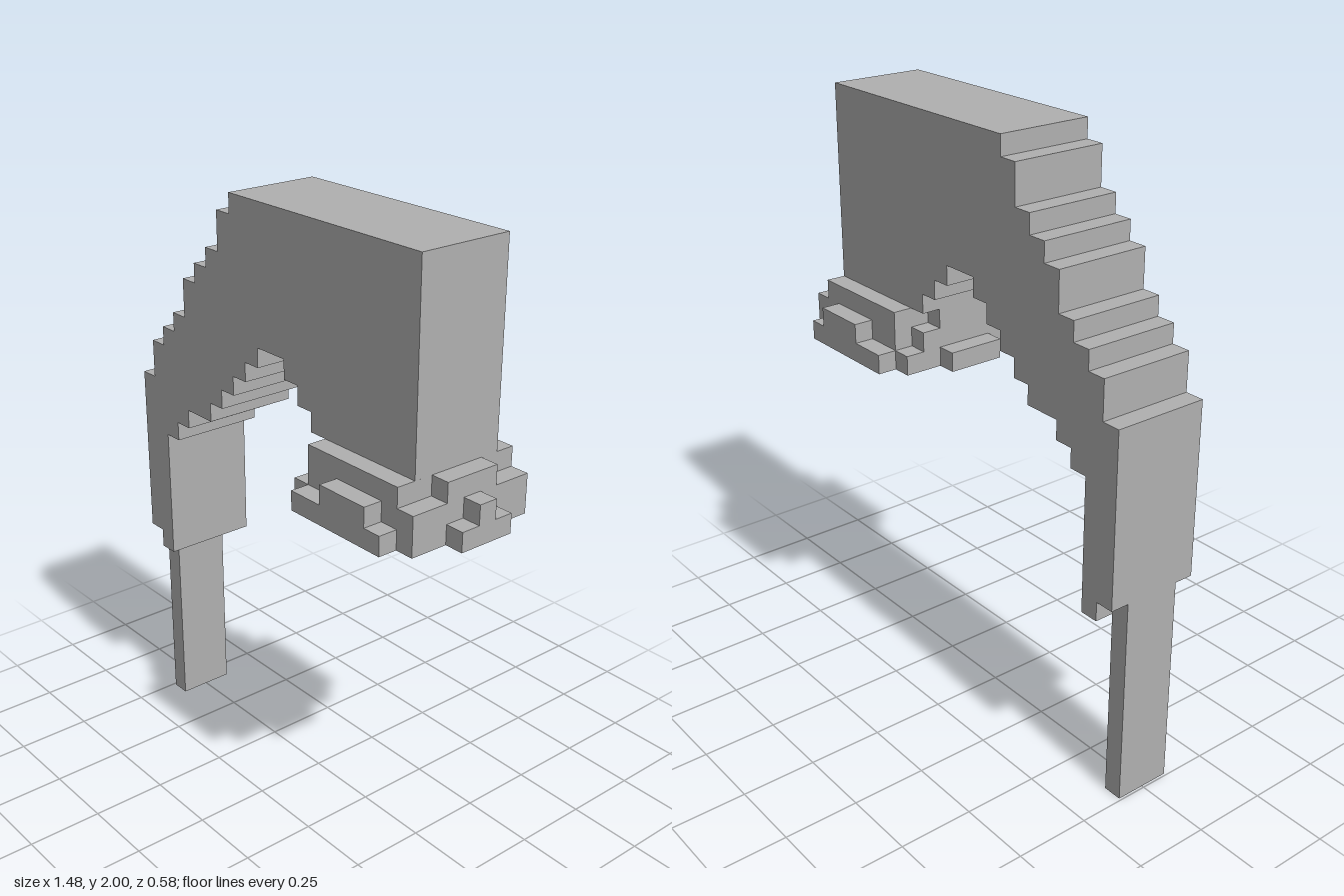
import * as THREE from 'three';

const U = 2 / 31; // size of one block

// Stepped outline from runs of columns [firstColumn, low, high], closed at column `end`
function steppedShape(runs, end) {
  const lower = [], upper = [];
  runs.forEach(([x, lo, hi], i) => {
    const next = i + 1 < runs.length ? runs[i + 1][0] : end;
    lower.push([x, lo], [next, lo]);
    upper.push([x, hi], [next, hi]);
  });
  const pts = [...lower, ...upper.reverse()]
    .map(([x, y]) => new THREE.Vector2((x - 11.5) * U, y * U))
    .filter((p, i, all) => i === 0 || p.distanceTo(all[i - 1]) > 1e-6);
  return new THREE.Shape(pts);
}

function extrude(shape, blocks) {
  return new THREE.ExtrudeGeometry(shape, { depth: blocks * U, bevelEnabled: false });
}

export function createModel() {
  const group = new THREE.Group();
  const grey = new THREE.MeshStandardMaterial({ color: 0xb0b0b0 });
  grey.name = 'grey';

  const add = (name, geometry) => {
    const mesh = new THREE.Mesh(geometry, grey);
    mesh.name = name;
    group.add(mesh);
    return mesh;
  };

  // Curved arm with the tall block at its end
  const arm = steppedShape([
    [0, 11, 20], [1, 10, 22], [2, 17, 23], [3, 18, 24], [4, 19, 26],
    [5, 19, 27], [6, 20, 28], [7, 21, 30], [8, 22, 31], [9, 23, 31],
    [10, 24, 31], [12, 23, 31], [13, 22, 31], [14, 21, 31],
  ], 21);
  add('arm', extrude(arm, 5).translate(0, 0, -2.5 * U));

  // Thin strip hanging from the arm
  add('hangingStrip', new THREE.BoxGeometry(U, 11 * U, 3 * U).translate(-11 * U, 5.5 * U, 0));

  // Rim under the tall block: three layers of [firstColumn, halfWidth]
  const layers = [
    { name: 'rimBottom', top: 19, end: 23, runs: [[13, 1.5], [14, 3.5], [15, 4.5], [21, 3.5], [22, 1.5]] },
    { name: 'rimMiddle', top: 20, end: 23, runs: [[14, 2.5], [15, 3.5], [17, 4.5], [20, 3.5], [22, 0.5]] },
    { name: 'rimTop', top: 21, end: 22, runs: [[14, 1.5], [15, 3.5], [21, 1.5]] },
  ];
  for (const { name, top, end, runs } of layers) {
    const outline = steppedShape(runs.map(([x, w]) => [x, -w, w]), end);
    add(name, extrude(outline, 1).rotateX(Math.PI / 2).translate(0, top * U, 0));
  }

  return group;
}
